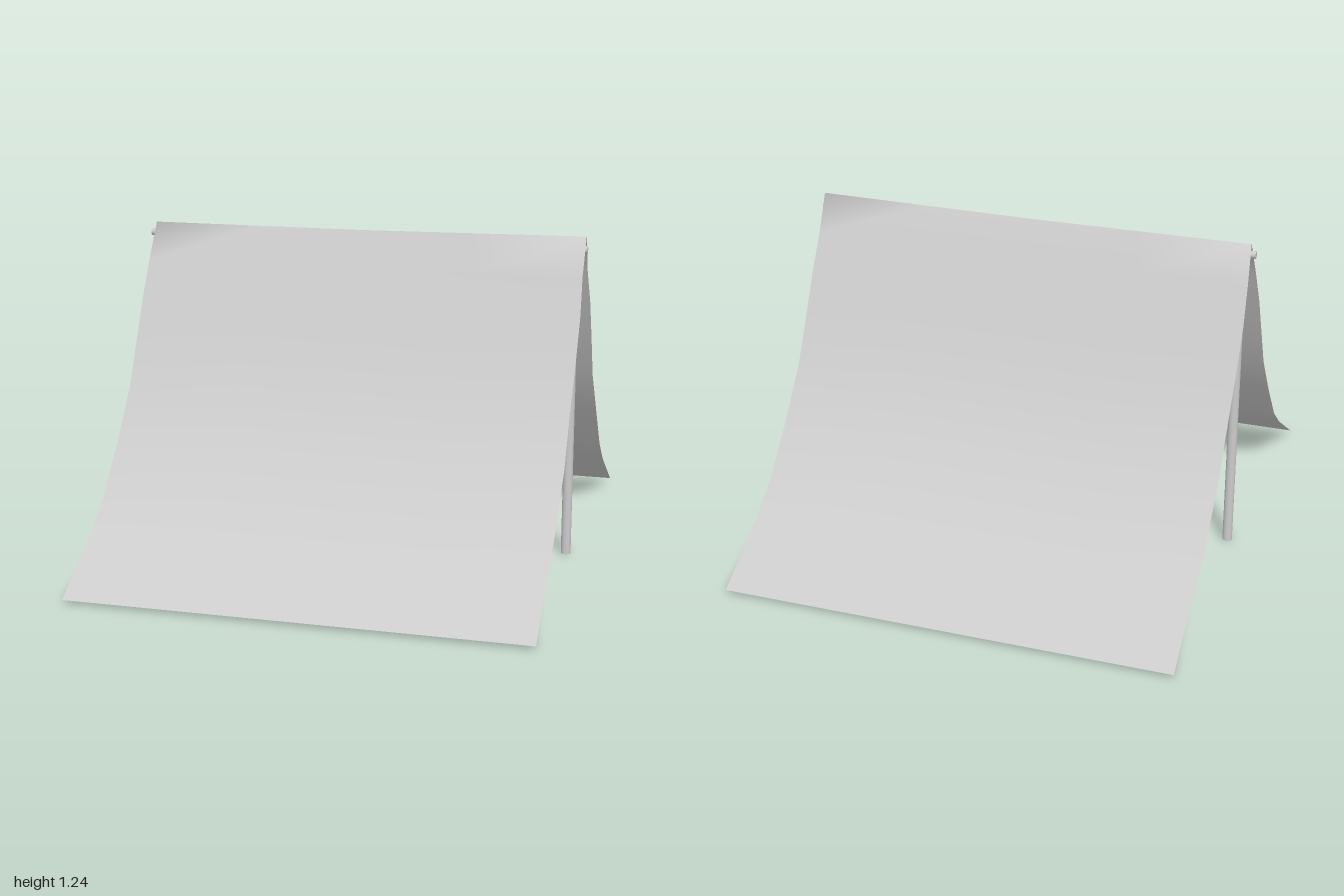
import * as THREE from 'three';

export function createModel() {
  const group = new THREE.Group();
  group.name = 'ridgeTent';
  const metal = new THREE.MeshStandardMaterial({ color: 0xcccccc });
  const cloth = new THREE.MeshStandardMaterial({ color: 0xcccccc, side: THREE.DoubleSide });

  // Half profile of the draped sheet, ridge to hem: [z, y, half width]
  const half = [
    [0, 1.232, 0.845], [0.07, 1.092, 0.853], [0.135, 0.96, 0.858], [0.215, 0.805, 0.857],
    [0.31, 0.635, 0.854], [0.435, 0.46, 0.857], [0.6, 0.278, 0.855],
    [0.74, 0.175, 0.853], [1, 0.012, 0.858],
  ];
  const profile = [
    ...half.slice(1).reverse().map(([z, y, w]) => [-z, y, w]),
    ...half,
  ];

  // Sheet: a grid bent over the ridge from back hem to front hem
  const columns = 4;
  const sheetGeo = new THREE.PlaneGeometry(2, 2, columns, profile.length - 1);
  const pos = sheetGeo.attributes.position;
  profile.forEach(([z, y, w], row) => {
    for (let c = 0; c <= columns; c++) {
      const t = (c / columns) * 2 - 1;
      const lift = 0.008 * Math.max(0, t) * y; // ridge rises slightly to the left
      const widen = t > 0 && Math.abs(z) < 0.05 ? 0.01 : 0;
      pos.setXYZ(row * (columns + 1) + c, t * (w + widen), y + lift, z);
    }
  });
  sheetGeo.computeVertexNormals();
  const sheet = new THREE.Mesh(sheetGeo, cloth);
  sheet.name = 'clothSheet';
  group.add(sheet);

  // Round pole helper
  const pole = (name, radius, length) => {
    const mesh = new THREE.Mesh(new THREE.CylinderGeometry(radius, radius, length, 12), metal);
    mesh.name = name;
    group.add(mesh);
    return mesh;
  };

  // Upright at each end
  for (const [side, name] of [[-1, 'rightUpright'], [1, 'leftUpright']]) {
    pole(name, 0.019, 1.195).position.set(side * 0.81, 0.5975, 0);
  }

  // Ridge pole under the fold
  const ridge = pole('ridgePole', 0.014, 1.724);
  ridge.rotation.z = Math.PI / 2;
  ridge.position.set(-0.002, 1.192, 0);

  return group;
}
